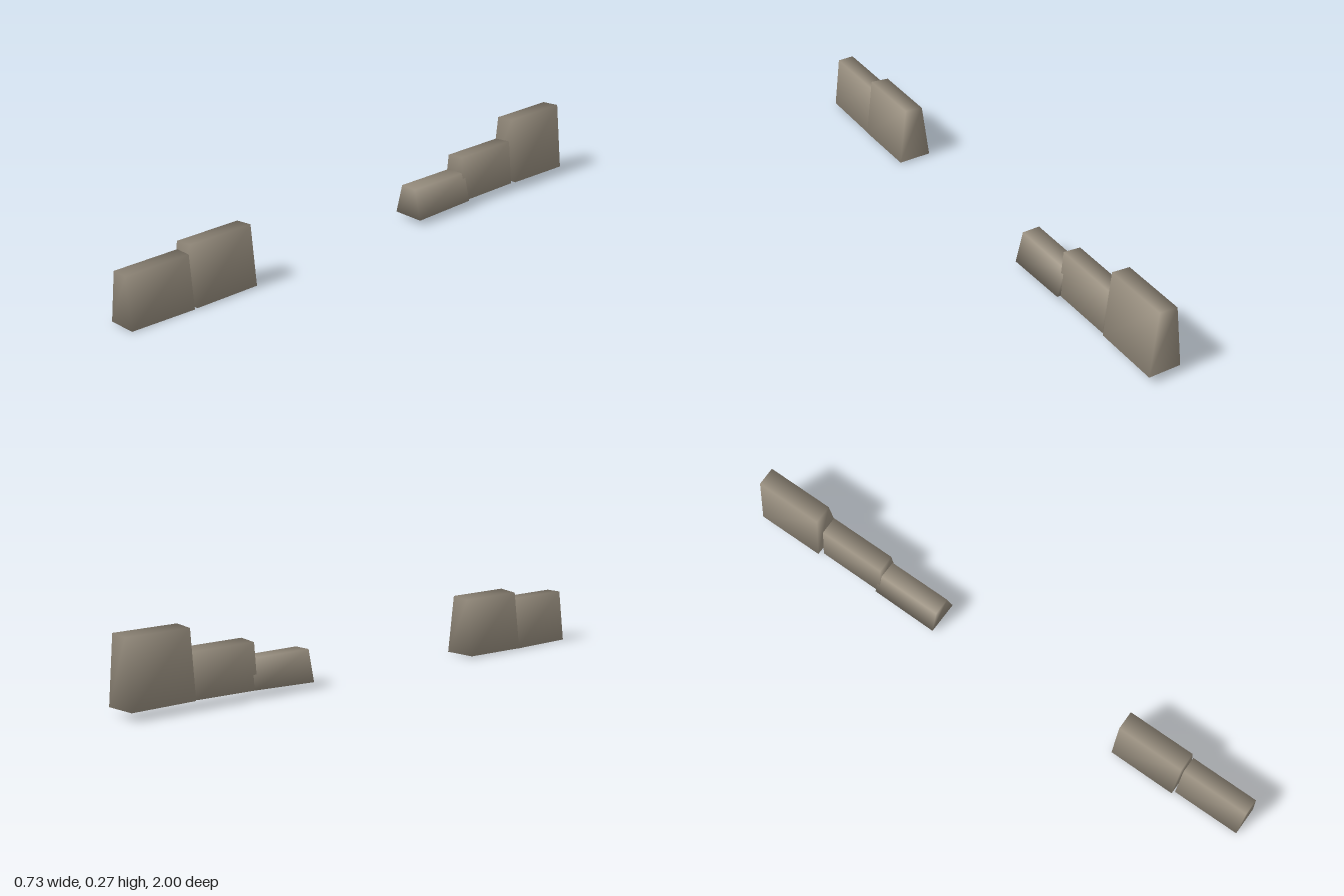
import * as THREE from 'three';
import { mergeVertices } from 'three/addons/utils/BufferGeometryUtils.js';

const LENGTH = 0.255;
const YAW = -Math.PI / 10;

// Tapered slab with shared corners, so the shading runs smoothly round it.
// bottom = heights at [front, back], top = heights at [-x edge, +x edge]
function slabGeometry(bottomWidth, topWidth, bottom, top) {
  const box = new THREE.BoxGeometry(1, 1, LENGTH);
  box.deleteAttribute('normal');
  box.deleteAttribute('uv');
  const geometry = mergeVertices(box);
  const p = geometry.attributes.position;
  for (let i = 0; i < p.count; i++) {
    const isTop = p.getY(i) > 0;
    const x = p.getX(i);
    p.setX(i, x * (isTop ? topWidth : bottomWidth));
    p.setY(i, isTop ? top[x > 0 ? 1 : 0] : bottom[p.getZ(i) > 0 ? 0 : 1]);
  }
  geometry.computeVertexNormals();
  return geometry;
}

export function createModel() {
  const stone = new THREE.MeshStandardMaterial({ color: 0xa09686 });
  stone.name = 'stone';

  // Two stepped runs of wall, with a gap between them
  const runs = {
    frontWall: [
      { name: 'lowSlab', x: -0.276, z: 0.862, widths: [0.106, 0.06], bottom: [0.003, 0], top: [0.188, 0.188] },
      { name: 'highSlab', x: -0.199, z: 0.612, widths: [0.123, 0.069], bottom: [0.004, 0.006], top: [0.213, 0.22] },
    ],
    backWall: [
      { name: 'lowSlab', x: 0.113, z: -0.372, widths: [0.122, 0.066], bottom: [0.02, 0.028], top: [0.131, 0.131] },
      { name: 'middleSlab', x: 0.185, z: -0.603, widths: [0.1, 0.066], bottom: [0.026, 0.029], top: [0.186, 0.192] },
      { name: 'highSlab', x: 0.265, z: -0.86, widths: [0.122, 0.069], bottom: [0.031, 0.029], top: [0.267, 0.273] },
    ],
  };

  const model = new THREE.Group();
  model.name = 'brokenWall';
  for (const [runName, slabs] of Object.entries(runs)) {
    const run = new THREE.Group();
    run.name = runName;
    for (const s of slabs) {
      const mesh = new THREE.Mesh(slabGeometry(...s.widths, s.bottom, s.top), stone);
      mesh.name = s.name;
      mesh.position.set(s.x, 0, s.z);
      mesh.rotation.y = YAW;
      run.add(mesh);
    }
    model.add(run);
  }
  return model;
}
